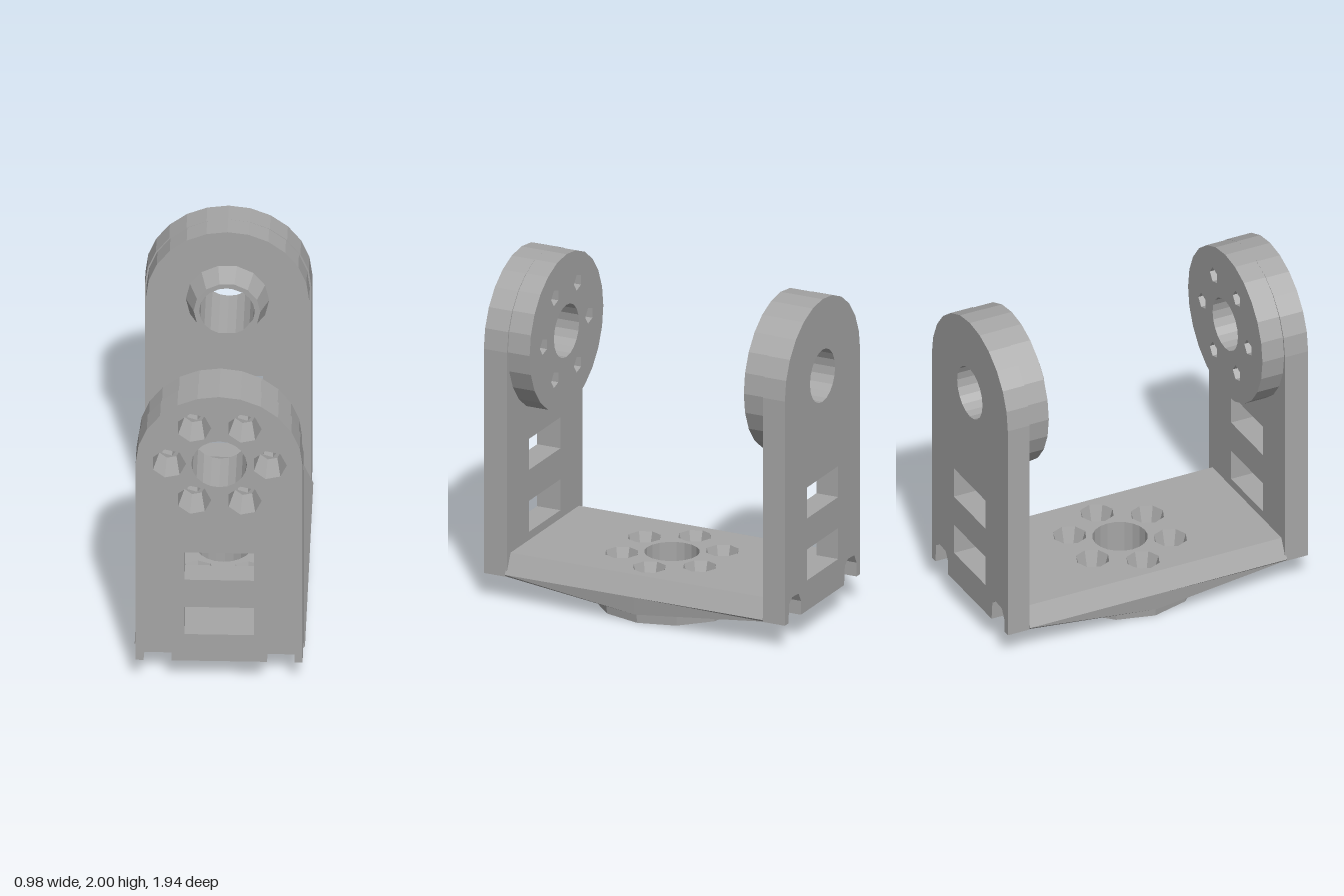
import * as THREE from 'three';

const grey = new THREE.MeshStandardMaterial({ color: 0xa6a6a6 });
grey.name = 'grey plastic';

const AXIS = 1.53;      // height of the pivot axis
const BORE = 0.16;      // centre hole radius
const RING = 0.29;      // bolt circle radius
const BOLT = 0.05;      // bolt hole radius
const POCKET = 0.1;     // bolt head pocket radius

const boltCentres = (cy) => Array.from({ length: 6 }, (_, i) => {
  const a = i * Math.PI / 3;
  return new THREE.Vector2(RING * Math.cos(a), cy + RING * Math.sin(a));
});

const ngon = (cx, cy, r, n) => Array.from({ length: n }, (_, i) => {
  const a = i / n * Math.PI * 2;
  return new THREE.Vector2(cx + r * Math.cos(a), cy + r * Math.sin(a));
});

const rect = (x0, y0, x1, y1) => [[x0, y0], [x1, y0], [x1, y1], [x0, y1]]
  .map(([x, y]) => new THREE.Vector2(x, y));

// Extrudes a shape from z0 to z1
function prism(outline, holes, z0, z1) {
  const shape = new THREE.Shape(outline);
  holes.forEach((h) => shape.holes.push(new THREE.Path(h)));
  const g = new THREE.ExtrudeGeometry(shape, { depth: z1 - z0, bevelEnabled: false });
  return g.translate(0, 0, z0);
}

// Moves every vertex by a rule
function move(g, rule) {
  const p = g.attributes.position;
  const v = new THREE.Vector3();
  for (let i = 0; i < p.count; i++) {
    rule(v.fromBufferAttribute(p, i));
    p.setXYZ(i, v.x, v.y, v.z);
  }
  g.computeVertexNormals();
  return g;
}

// Narrows the bolt pockets towards the level z0
function taperPockets(g, centres, z0, z1, rIn) {
  return move(g, (v) => {
    const c = centres.find((q) => Math.hypot(v.x - q.x, v.y - q.y) < POCKET + 0.002);
    if (!c) return;
    const s = (rIn + (POCKET - rIn) * (v.z - z0) / (z1 - z0)) / POCKET;
    v.x = c.x + (v.x - c.x) * s;
    v.y = c.y + (v.y - c.y) * s;
  });
}

function add(parent, name, geometry) {
  const mesh = new THREE.Mesh(geometry, grey);
  mesh.name = name;
  parent.add(mesh);
  return mesh;
}

// Arched upright outline, optionally with screw notches in the bottom corners
function archOutline(notched) {
  const w = 0.48, y0 = 0.155;
  const pts = [[-w, y0]];
  if (notched) {
    for (const s of [-1, 1]) {
      const n = [[-0.08, y0], [-0.07, 0.27], [-0.03, 0.3], [0.05, 0.295], [0.08, 0.24], [0.08, y0]];
      n.forEach(([x, y]) => pts.push([s * 0.355 + x, y]));
    }
  }
  pts.push([w, y0]);
  for (let i = 0; i <= 12; i++) {
    const a = i / 12 * Math.PI;
    pts.push([w * Math.cos(a), AXIS + 0.47 * Math.sin(a)]);
  }
  return pts.map(([x, y]) => new THREE.Vector2(x, y));
}

// Upright facing +z, from z = inner to z = 0.97
function upright(name, inner, bolted) {
  const group = new THREE.Group();
  group.name = name;
  const centres = bolted ? boltCentres(AXIS) : [];
  const bore = ngon(0, AXIS, BORE, 20);
  const windows = [rect(-0.2, 0.34, 0.2, 0.53), rect(-0.2, 0.72, 0.2, 0.91)];
  const pockets = centres.map((c) => ngon(c.x, c.y, POCKET, 7));
  const split = 0.89;
  [['innerPlate', inner, split, false], ['outerPlate', split, 0.97, true]].forEach(([n, a, b, notch]) => {
    const g = prism(archOutline(notch), [bore, ...windows, ...pockets], a, b);
    add(group, n, taperPockets(g, centres, inner, 0.97, 0.065));
  });
  return group;
}

// Round boss on the inside of an upright
function boss(z0, z1, bolted) {
  const holes = bolted ? boltCentres(AXIS).map((c) => ngon(c.x, c.y, BOLT, 5)) : [];
  return prism(ngon(0, AXIS, 0.47, 24), [ngon(0, AXIS, BORE, 20), ...holes], z0, z1);
}

// Half of the base plate, as an outline notched by the holes on its centre line
function baseHalf(r, n, y0, y1) {
  const pts = [[0.49, 0], [0.49, 0.83], [-0.49, 0.83], [-0.49, 0]];
  for (const [cx, cr, m] of [[-RING, r, n], [0, BORE, 10], [RING, r, n]]) {
    for (let i = 0; i <= m; i++) {
      const a = Math.PI * (1 - i / m);
      pts.push([cx + cr * Math.cos(a), cr * Math.sin(a)]);
    }
  }
  const outline = pts.map(([x, y]) => new THREE.Vector2(x, y));
  const holes = boltCentres(0).slice(1, 3).map((c) => ngon(c.x, c.y, r, n * 2));
  return prism(outline, holes, y0, y1);
}

function base() {
  const group = new THREE.Group();
  group.name = 'base';
  const mid = 0.17, top = 0.29;
  for (let k = 0; k < 2; k++) {
    const half = new THREE.Group();
    half.name = k ? 'frontHalf' : 'backHalf';
    half.rotation.y = k * Math.PI;
    // Upper layer with pockets and sloping sides
    const upper = taperPockets(baseHalf(POCKET, 4, mid, top), boltCentres(0), mid, top, 0.065);
    move(upper, (v) => { if (Math.abs(v.x) > 0.48 && v.z > mid + 0.01) v.x *= 0.89; });
    add(half, 'upperLayer', upper.rotateX(-Math.PI / 2));
    // Lower layer deepening towards the middle
    const lower = move(baseHalf(BOLT, 3, 0, mid), (v) => {
      if (v.z > 0.01) return;
      v.z = 0.06 + 0.115 * v.y;
      if (Math.abs(v.x) > 0.48) v.x *= 0.97;
    });
    add(half, 'lowerLayer', lower.rotateX(-Math.PI / 2));
    group.add(half);
  }
  // Mounting foot under the base
  const holes = boltCentres(0).map((c) => ngon(c.x, c.y, BOLT, 6));
  const foot = prism(ngon(0, 0, 0.46, 12), [ngon(0, 0, BORE, 20), ...holes], 0, 0.11);
  move(foot, (v) => {
    if (Math.hypot(v.x, v.y) > 0.4 && v.z < 0.01) { v.x *= 0.97; v.y *= 0.97; }
  });
  add(group, 'mountingFoot', foot.rotateX(-Math.PI / 2));
  return group;
}

export function createModel() {
  const model = new THREE.Group();
  model.name = 'uBracket';

  const front = upright('frontUpright', 0.82, true);
  add(front, 'boltedBoss', boss(0.68, 0.82, true));

  // Back upright, turned around, with a hollow pivot stub
  const back = upright('backUpright', 0.83, false);
  add(back, 'plainBoss', boss(0.7, 0.83, false));
  const stub = prism(ngon(0, AXIS, 0.24, 14), [ngon(0, AXIS, BORE, 20)], 0.58, 0.7);
  move(stub, (v) => {
    if (v.z < 0.6 && Math.hypot(v.x, v.y - AXIS) > 0.2) {
      v.x *= 0.8;
      v.y = AXIS + (v.y - AXIS) * 0.8;
    }
  });
  add(back, 'pivotStub', stub);
  back.rotation.y = Math.PI;

  model.add(front, back, base());
  return model;
}
